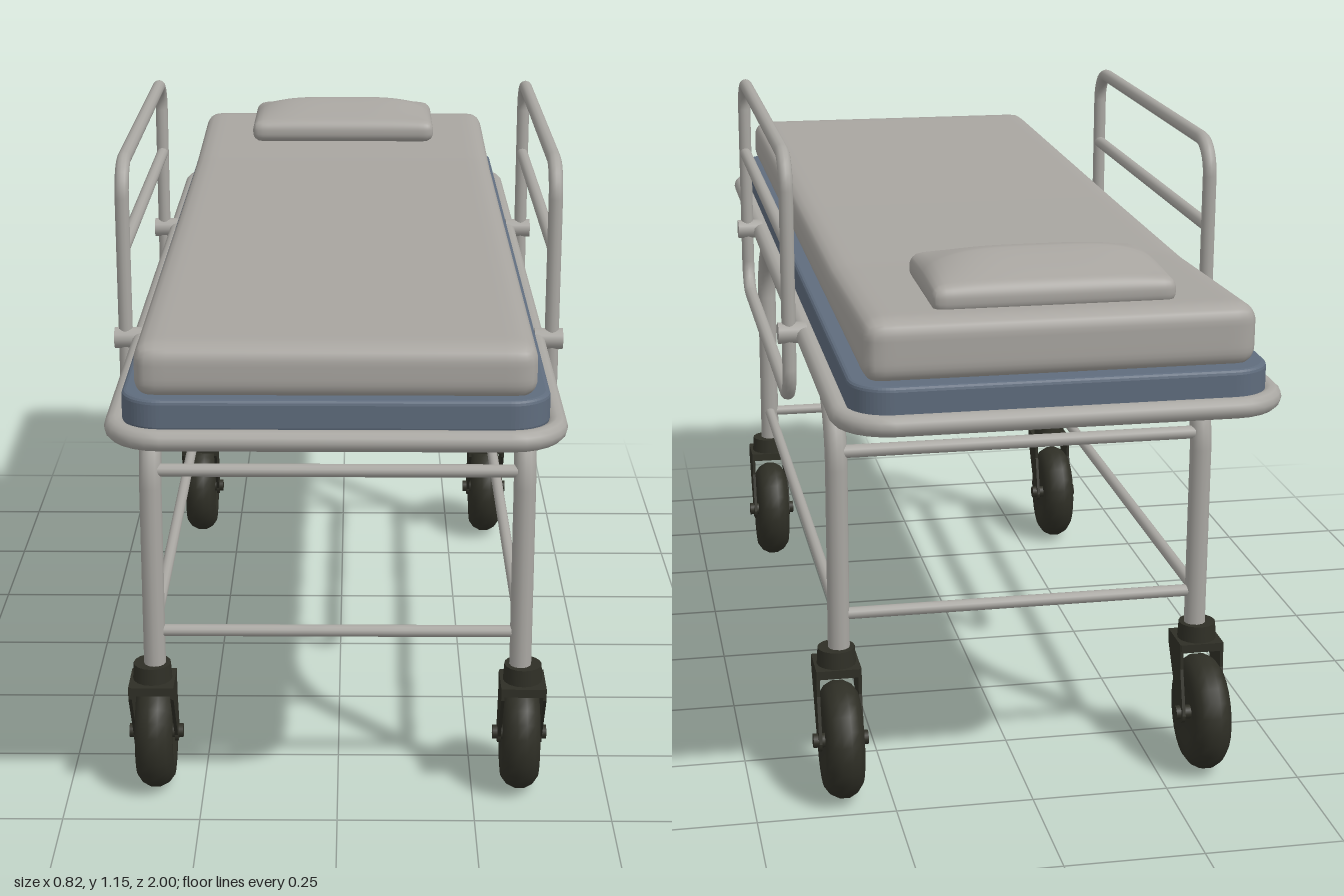
import * as THREE from 'three';
import { mergeVertices } from 'three/addons/utils/BufferGeometryUtils.js';

const V = (x, y, z) => new THREE.Vector3(x, y, z);

function material(name, color) {
  const m = new THREE.MeshStandardMaterial({ color });
  m.name = name;
  return m;
}

function addMesh(parent, name, geometry, mat, x = 0, y = 0, z = 0) {
  const mesh = new THREE.Mesh(geometry, mat);
  mesh.name = name;
  mesh.position.set(x, y, z);
  parent.add(mesh);
  return mesh;
}

// Bent pipe through corner points, each corner rounded by the given radius
function pipe(points, radius, corner, closed, segments) {
  const path = new THREE.CurvePath();
  const n = points.length;
  const start = closed ? points[0].clone().lerp(points[n - 1], 0.5) : points[0];
  let last = start;
  for (let i = closed ? 0 : 1; i < (closed ? n : n - 1); i++) {
    const p = points[i];
    const toward = (q) => p.clone().add(q.clone().sub(p).setLength(corner));
    const a = toward(points[(i + n - 1) % n]);
    const b = toward(points[(i + 1) % n]);
    path.add(new THREE.LineCurve3(last, a));
    path.add(new THREE.CubicBezierCurve3(a, a.clone().lerp(p, 0.55), b.clone().lerp(p, 0.55), b));
    last = b;
  }
  path.add(new THREE.LineCurve3(last, closed ? start : points[n - 1]));
  path.arcLengthDivisions = 800;
  return new THREE.TubeGeometry(path, segments, radius, 12, closed);
}

// Straight round bar between two points
function bar(a, b, radius) {
  const g = new THREE.CylinderGeometry(radius, radius, a.distanceTo(b), 12);
  g.applyQuaternion(new THREE.Quaternion().setFromUnitVectors(V(0, 1, 0), b.clone().sub(a).normalize()));
  return g.translate((a.x + b.x) / 2, (a.y + b.y) / 2, (a.z + b.z) / 2);
}

// Soft box with rounded edges, then reshaped by a rule on each vertex
function cushion(w, h, d, r, rule) {
  let g = new THREE.BoxGeometry(w, h, d, 36, 10, 90);
  g.deleteAttribute('uv');
  g.deleteAttribute('normal');
  g = mergeVertices(g);
  const pos = g.attributes.position;
  const p = V(0, 0, 0);
  const inner = V(w / 2 - r, h / 2 - r, d / 2 - r);
  for (let i = 0; i < pos.count; i++) {
    p.fromBufferAttribute(pos, i);
    const core = p.clone().clamp(inner.clone().negate(), inner);
    const out = p.clone().sub(core);
    if (out.length() > r) p.copy(core).add(out.setLength(r));
    rule(p);
    pos.setXYZ(i, p.x, p.y, p.z);
  }
  g.computeVertexNormals();
  return g;
}

// Flat slab with rounded plan corners, lying in the xz plane
function slab(w, d, h, r) {
  const bevel = 0.008;
  const x = w / 2 - bevel, y = d / 2 - bevel;
  const s = new THREE.Shape();
  s.moveTo(-x + r, -y);
  s.lineTo(x - r, -y).absarc(x - r, -y + r, r, -Math.PI / 2, 0);
  s.lineTo(x, y - r).absarc(x - r, y - r, r, 0, Math.PI / 2);
  s.lineTo(-x + r, y).absarc(-x + r, y - r, r, Math.PI / 2, Math.PI);
  s.lineTo(-x, -y + r).absarc(-x + r, -y + r, r, Math.PI, Math.PI * 1.5);
  const g = new THREE.ExtrudeGeometry(s, {
    depth: h - 2 * bevel, bevelSize: bevel, bevelThickness: bevel, bevelSegments: 3, curveSegments: 8,
  });
  return g.translate(0, 0, bevel - h / 2).rotateX(-Math.PI / 2);
}

// Swivel caster, origin on the floor under its stem; the wheel trails toward -z
function makeCaster(rubber, wheelStretch) {
  const caster = new THREE.Group();
  const trail = -0.045, axle = 0.107;
  const profile = [[0.012, -0.022], [0.05, -0.026], [0.062, -0.034], [0.085, -0.034], [0.099, -0.024],
    [0.107, -0.009], [0.107, 0.009], [0.099, 0.024], [0.085, 0.034], [0.062, 0.034], [0.05, 0.026], [0.012, 0.022]];
  const wheelGeo = new THREE.LatheGeometry(profile.map(([r, y]) => new THREE.Vector2(r, y)), 24);
  const wheel = addMesh(caster, 'wheel', wheelGeo.rotateZ(Math.PI / 2), rubber, 0, axle, trail);
  wheel.scale.z = wheelStretch;
  addMesh(caster, 'axle', new THREE.CylinderGeometry(0.013, 0.013, 0.1, 10).rotateZ(Math.PI / 2), rubber, 0, axle, trail);
  addMesh(caster, 'swivelCap', new THREE.CylinderGeometry(0.034, 0.036, 0.032, 16), rubber, 0, 0.253, 0);
  addMesh(caster, 'forkCrown', new THREE.BoxGeometry(0.078, 0.016, 0.085), rubber, 0, 0.23, 0.003);

  // Slanted fork cheeks
  const s = new THREE.Shape();
  s.moveTo(0.045, 0.238);
  s.lineTo(-0.038, 0.238).lineTo(-0.04, 0.19).lineTo(trail - 0.02, axle);
  s.quadraticCurveTo(trail - 0.018, axle - 0.018, trail, axle - 0.02);
  s.quadraticCurveTo(trail + 0.02, axle - 0.016, trail + 0.02, axle);
  s.lineTo(0.045, 0.215);
  for (const side of [-1, 1]) {
    const g = new THREE.ExtrudeGeometry(s, { depth: 0.006, bevelEnabled: false });
    g.translate(0, 0, -0.003).rotateY(-Math.PI / 2);
    addMesh(caster, 'forkCheek', g, rubber, side * 0.038, 0, 0);
  }
  return caster;
}

export function createModel() {
  const model = new THREE.Group();
  model.name = 'hospitalStretcher';
  const metal = material('greyMetal', 0xa9a7a2);
  const linen = material('greyLinen', 0xa8a5a0);
  const blue = material('slateBlue', 0x5f6c7d);
  const rubber = material('darkRubber', 0x2f2f26);

  // Bed top, tipped slightly down toward the head
  const bed = new THREE.Group();
  bed.name = 'bedTop';
  bed.position.y = 0.808;
  bed.rotation.x = -0.0115;
  model.add(bed);

  const frame = [V(0.362, 0, 0.982), V(0.362, 0, -0.982), V(-0.362, 0, -0.982), V(-0.362, 0, 0.982)];
  addMesh(bed, 'bedFrame', pipe(frame, 0.018, 0.08, true, 260), metal);
  addMesh(bed, 'bluePad', slab(0.7, 1.945, 0.054, 0.06), blue, 0, 0.035, -0.005);

  // Support plates under the pad
  for (const [z, d] of [[-0.725, 0.45], [-0.05, 0.84], [0.69, 0.53]]) {
    addMesh(bed, 'supportPlate', new THREE.BoxGeometry(0.69, 0.012, d), metal, 0, 0.003, z);
  }

  // Mattress, with the head end lifted a little
  const mattress = cushion(0.655, 0.09, 1.9, 0.032, (p) => {
    if (p.y > 0) p.y += 0.02 * Math.max(0, (-p.z - 0.5) / 0.45) + 0.004 * Math.max(0, p.z);
  });
  addMesh(bed, 'mattress', mattress, linen, 0, 0.1, 0);

  // Pillow swelling toward its middle
  const pillow = cushion(0.41, 0.046, 0.26, 0.02, (p) => {
    if (p.y > 0) p.y += 0.034 * (1 - Math.abs(p.x / 0.205) ** 4) * (1 - Math.abs(p.z / 0.13) ** 1.4);
  });
  addMesh(bed, 'pillow', pillow, linen, 0, 0.175, -0.76);

  for (const side of [-1, 1]) {
    // Side guard rails and their clamps
    const x = side * 0.392;
    const rail = [V(x, 0.328, 0.424), V(x, 0.328, -0.424), V(x, -0.125, -0.424), V(x, -0.125, 0.424)];
    addMesh(bed, 'guardRail', pipe(rail, 0.013, 0.06, true, 180), metal);
    addMesh(bed, 'guardRailMidBar', bar(V(x, 0.173, -0.424), V(x, 0.173, 0.424), 0.012), metal);
    for (const z of [-0.424, 0.424]) {
      addMesh(bed, 'railClamp', bar(V(side * 0.36, 0.005, z), V(side * 0.412, 0.005, z), 0.02), metal);
    }

    // Arched legs, lengthwise rail and posts up to the bed
    const lx = side * 0.333;
    const arch = [V(lx, 0.26, 0.653), V(lx, 0.75, 0.642), V(lx, 0.75, -0.622), V(lx, 0.26, -0.615)];
    addMesh(model, 'legArch', pipe(arch, 0.02, 0.14, false, 140), metal);
    addMesh(model, 'lowerSideBar', bar(V(lx, 0.332, 0.65), V(lx, 0.332, -0.615), 0.011), metal);
    for (const z of [-0.4, 0.4]) {
      addMesh(model, 'bedPost', bar(V(lx, 0.75, z), V(lx, 0.81, z), 0.014), metal);
    }

    // Casters
    for (const [z, stretch] of [[0.652, 0.87], [-0.615, 0.97]]) {
      const caster = makeCaster(rubber, stretch);
      caster.name = z > 0 ? 'frontCaster' : 'rearCaster';
      caster.position.set(side * 0.338, 0, z);
      model.add(caster);
    }
  }

  // Cross bars between the two arches
  for (const [y, z, r] of [[0.332, 0.65, 0.011], [0.332, -0.616, 0.011], [0.64, 0.643, 0.012],
    [0.64, -0.62, 0.012], [0.748, 0.45, 0.015], [0.748, -0.45, 0.015]]) {
    addMesh(model, 'crossBar', bar(V(-0.333, y, z), V(0.333, y, z), r), metal);
  }
  return model;
}
